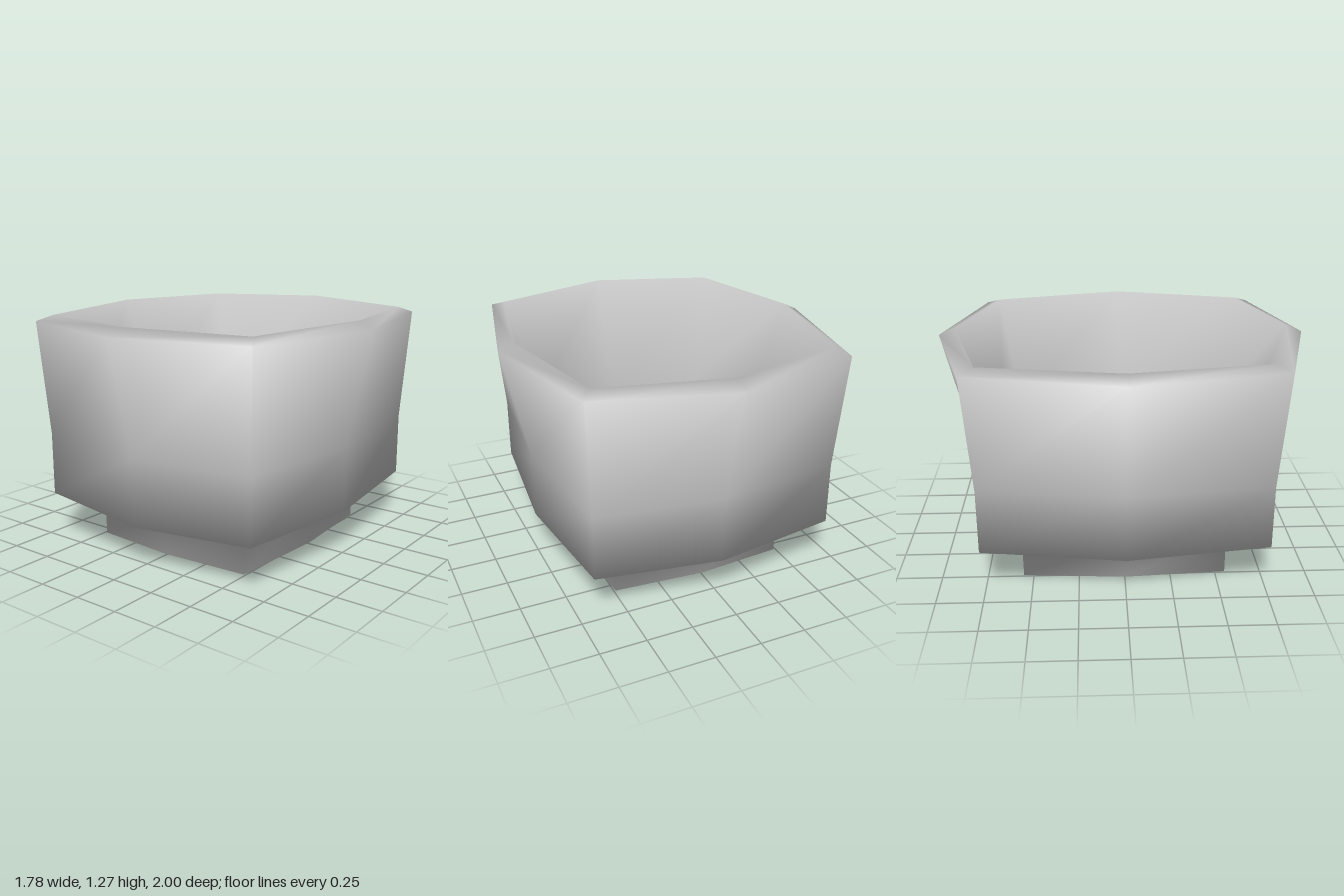
import * as THREE from 'three';

// Each ring is a stretched octagon: side x, end z, corner x, corner z, side y, corner y
const RINGS = [
  [0.54, 0.605, 0.49, 0.555, 0.008, 0],       // foot bottom
  [0.54, 0.605, 0.49, 0.555, 0.225, 0.235],   // foot top
  [0.75, 0.845, 0.68, 0.765, 0.235, 0.26],    // lower body edge
  [0.75, 0.845, 0.68, 0.765, 0.6, 0.61],      // where the flare begins
  [0.89, 1.0, 0.715, 0.805, 1.235, 1.235],    // outer rim
  [0.81, 0.91, 0.66, 0.73, 1.275, 1.265],     // inner rim
  [0.6, 0.675, 0.55, 0.61, 0.63, 0.63],       // foot of the inner slope
  [0.6, 0.675, 0.55, 0.61, 0.26, 0.27],       // outside of the inner ledge
  [0.535, 0.6, 0.485, 0.55, 0.25, 0.26],      // inside of the inner ledge
  [0.535, 0.6, 0.485, 0.55, 0.018, 0.015],    // floor of the well in the foot
];
const SIDES = 8;

// Joins the rings into one smooth shell, closed by a flat cap at each end
function loft(rings) {
  const points = rings.flatMap(([sx, ez, cx, cz, sy, cy]) => [
    [sx, sy, 0], [cx, cy, cz], [0, sy, ez], [-cx, cy, cz],
    [-sx, sy, 0], [-cx, cy, -cz], [0, sy, -ez], [cx, cy, -cz],
  ]).map((p) => new THREE.Vector3(...p));

  const around = [...Array(SIDES).keys()];
  const last = (rings.length - 1) * SIDES;
  const faces = [around, around.map((j) => last + SIDES - 1 - j)];
  for (let i = 0; i < last; i += SIDES) {
    for (const j of around) {
      const a = i + j;
      const b = i + ((j + 1) % SIDES);
      faces.push([b, a, a + SIDES, b + SIDES]);
    }
  }

  // Every face counts equally in the smooth normals, so the rim stays soft
  const normals = points.map(() => new THREE.Vector3());
  const index = [];
  for (const face of faces) {
    const n = face.length;
    const corners = [0, Math.floor(n / 3), Math.floor((2 * n) / 3)];
    const normal = new THREE.Triangle(...corners.map((k) => points[face[k]]))
      .getNormal(new THREE.Vector3());
    for (const v of face) normals[v].add(normal);
    for (let k = 1; k < n - 1; k++) index.push(face[0], face[k], face[k + 1]);
  }

  const geometry = new THREE.BufferGeometry().setFromPoints(points);
  const flat = normals.flatMap((v) => v.normalize().toArray());
  geometry.setAttribute('normal', new THREE.Float32BufferAttribute(flat, 3));
  geometry.setIndex(index);
  return geometry;
}

export function createModel() {
  const group = new THREE.Group();
  group.name = 'footedBowl';
  const grey = new THREE.MeshStandardMaterial({ color: 0xc4c4c4 });
  grey.name = 'light grey';
  const bowl = new THREE.Mesh(loft(RINGS), grey);
  bowl.name = 'bowl';
  group.add(bowl);
  return group;
}
